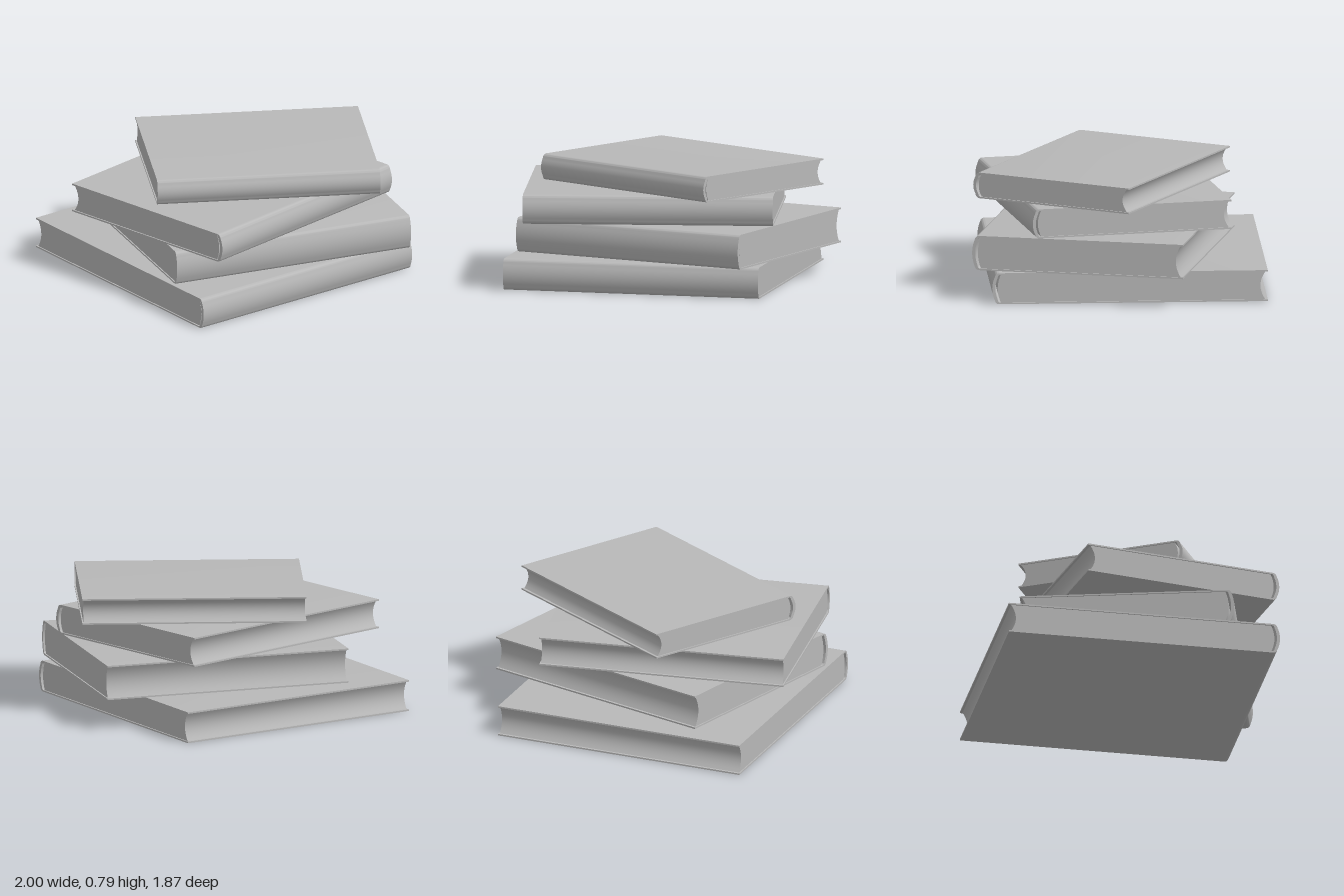
import * as THREE from 'three';
import { toCreasedNormals } from 'three/addons/utils/BufferGeometryUtils.js';

const paperGray = new THREE.MeshStandardMaterial({ color: 0xb8b8b8 });

// Extrude a (z, y) cross-section along x, centred on x = 0.
function extrudeAlongX(shape, width, name) {
  const geometry = new THREE.ExtrudeGeometry(shape, { depth: width, bevelEnabled: false, curveSegments: 10 });
  geometry.translate(0, 0, -width / 2);
  geometry.rotateY(-Math.PI / 2);
  const mesh = new THREE.Mesh(toCreasedNormals(geometry, 0.6), paperGray);
  mesh.name = name;
  return mesh;
}

// Thin C-shaped cover: two boards joined by a rounded spine at +z.
function coverShape(depth, height) {
  const e = depth / 2, t = 0.01, r = 0.026;
  const s = new THREE.Shape();
  s.moveTo(-e, 0);
  s.lineTo(e - 0.046, 0);
  s.quadraticCurveTo(e - 0.022, 0, e - 0.016, r);
  s.quadraticCurveTo(e + 0.016, height / 2, e - 0.016, height - r);
  s.quadraticCurveTo(e - 0.022, height, e - 0.046, height);
  s.lineTo(-e, height);
  s.lineTo(-e, height - t);
  s.lineTo(e - 0.05, height - t);
  s.quadraticCurveTo(e - 0.038, height - t, e - 0.034, height - r - 0.006);
  s.quadraticCurveTo(e - 0.006, height / 2, e - 0.034, r + 0.006);
  s.quadraticCurveTo(e - 0.038, t, e - 0.05, t);
  s.lineTo(-e, t);
  s.closePath();
  return s;
}

// Page block: convex towards the spine, concave at the fore edge.
function pagesShape(depth, height) {
  const e = depth / 2, t = 0.009;
  const s = new THREE.Shape();
  s.moveTo(-e + 0.015, t);
  s.lineTo(e - 0.056, t);
  s.quadraticCurveTo(e - 0.014, height / 2, e - 0.056, height - t);
  s.lineTo(-e + 0.015, height - t);
  s.quadraticCurveTo(-e + 0.078, height / 2, -e + 0.015, t);
  return s;
}

export function createModel() {
  const model = new THREE.Group();
  model.name = 'bookStack';
  // Bottom to top: spine length, depth, height, base y, centre x, centre z, turn in degrees
  const books = [
    [1.66, 1.745, 0.2, 0, -0.08, -0.063, 0],
    [1.6, 1.36, 0.222, 0.202, 0.052, 0.067, -15],
    [1.585, 1.29, 0.188, 0.428, -0.108, 0.057, 10],
    [1.42, 1.1, 0.166, 0.62, 0.08, 0.08, -30],
  ];
  books.forEach(([width, depth, height, y, x, z, turn], i) => {
    const book = new THREE.Group();
    book.name = `book${i + 1}`;
    book.add(
      extrudeAlongX(coverShape(depth, height), width, 'cover'),
      extrudeAlongX(pagesShape(depth, height), width - 0.016, 'pages'),
    );
    book.position.set(x, y, z);
    book.rotation.y = THREE.MathUtils.degToRad(turn);
    model.add(book);
  });
  return model;
}
